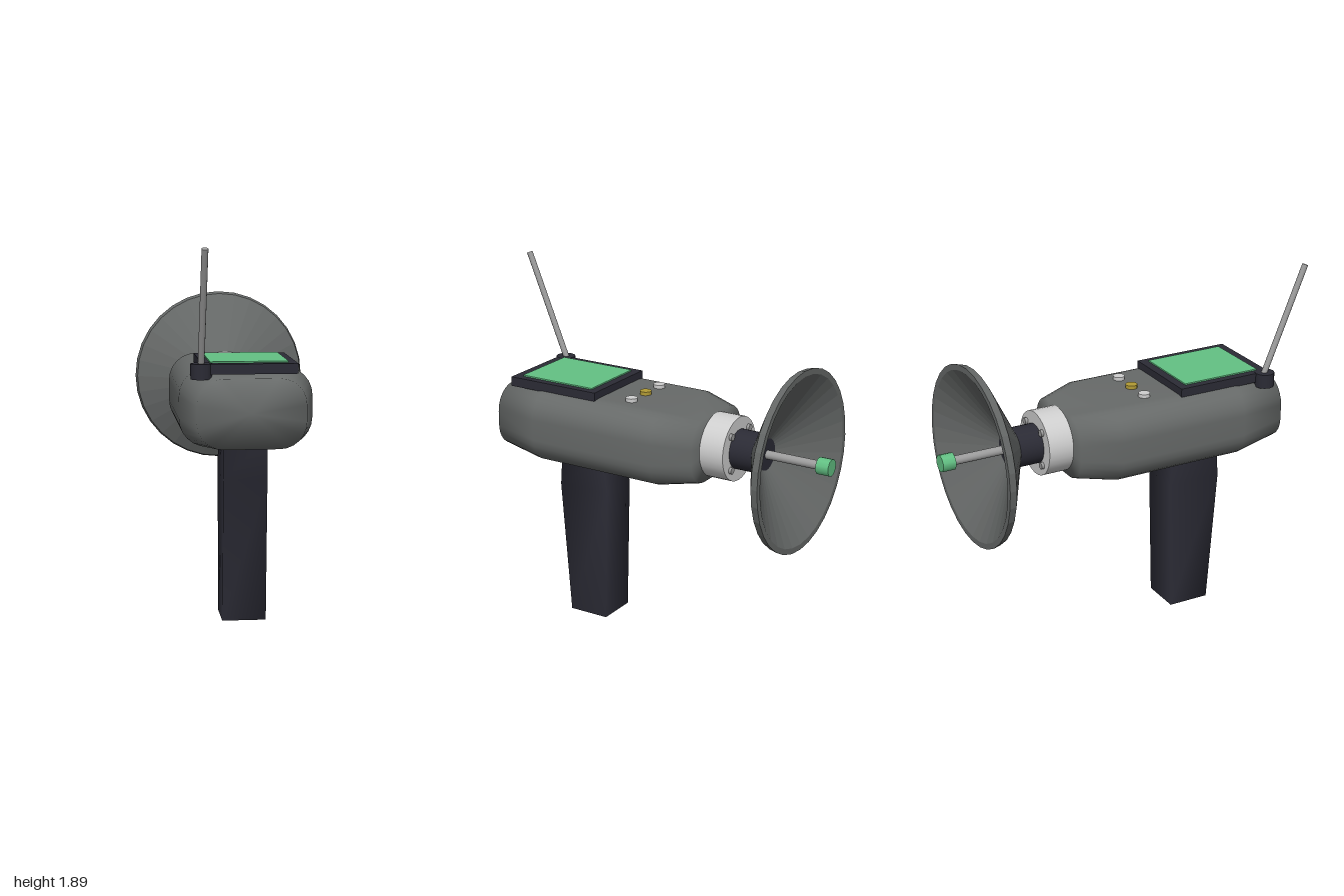
import * as THREE from 'three';
import { mergeVertices } from 'three/addons/utils/BufferGeometryUtils.js';

const material = (name, color, extra = {}) =>
  Object.assign(new THREE.MeshStandardMaterial({ color, ...extra }), { name });

// Smooth loft through rings of points, closed by a fan at each end
function loft(rings, smoothCaps) {
  const n = rings[0].length, pos = [];
  const tri = (...pts) => pts.forEach(p => pos.push(p.x, p.y, p.z));
  for (let i = 0; i < rings.length - 1; i++) {
    for (let j = 0; j < n; j++) {
      const k = (j + 1) % n;
      const a = rings[i][j], b = rings[i][k], c = rings[i + 1][k], d = rings[i + 1][j];
      tri(a, b, c);
      tri(a, c, d);
    }
  }
  const caps = [];
  const fan = (ring, flip) => {
    const mid = ring.reduce((s, p) => s.add(p), new THREE.Vector3()).divideScalar(n);
    ring.forEach((p, j) => {
      const q = ring[(j + 1) % n];
      caps.push(...(flip ? [mid, q, p] : [mid, p, q]));
    });
  };
  fan(rings[0], true);
  fan(rings[rings.length - 1], false);
  const build = list => {
    let g = new THREE.BufferGeometry();
    g.setAttribute('position', new THREE.Float32BufferAttribute(list, 3));
    g = mergeVertices(g, 1e-4);
    g.computeVertexNormals();
    return g;
  };
  const capPos = caps.flatMap(p => [p.x, p.y, p.z]);
  return smoothCaps ? [build(pos.concat(capPos))] : [build(pos), build(capPos)];
}

// Rounded rectangle ring across z, anticlockwise seen from +z
function bodyRing(z, w, y0, y1, r) {
  const pts = [], cy = (y0 + y1) / 2, h = (y1 - y0) / 2;
  [[1, 1], [-1, 1], [-1, -1], [1, -1]].forEach(([sx, sy], q) => {
    for (let i = 0; i <= 6; i++) {
      const a = (q + i / 6) * Math.PI / 2;
      pts.push(new THREE.Vector3(sx * (w - r) + r * Math.cos(a), cy + sy * (h - r) + r * Math.sin(a), z));
    }
  });
  return pts;
}

export function createModel() {
  const model = new THREE.Group();
  model.name = 'handheldScanner';
  const casing = material('casing grey', 0x676a69);
  const dishGrey = material('dish grey', 0x676a69, { flatShading: true, side: THREE.DoubleSide });
  const dark = material('dark plastic', 0x2b2b35);
  const white = material('pale grey', 0xcfcfcf);
  const metal = material('metal', 0x9c9c9c);
  const green = material('green', 0x63c184);
  const yellow = material('yellow', 0xb29b35);

  const add = (name, geometry, mat, x = 0, y = 0, z = 0) => {
    const mesh = new THREE.Mesh(geometry, mat);
    mesh.name = name;
    mesh.position.set(x, y, z);
    model.add(mesh);
    return mesh;
  };
  const AXIS = 1.095;
  // Cylinder running along z between two depths
  const rod = (name, r, z0, z1, mat, sides = 32, x = 0, y = AXIS) =>
    add(name, new THREE.CylinderGeometry(r, r, Math.abs(z1 - z0), sides).rotateX(Math.PI / 2),
      mat, x, y, (z0 + z1) / 2);

  // Body, tapered at both ends
  loft([
    bodyRing(-0.34, 0.25, 0.925, 1.265, 0.13),
    bodyRing(-0.14, 0.33, 0.9, 1.29, 0.14),
    bodyRing(0.58, 0.33, 0.9, 1.29, 0.14),
    bodyRing(0.85, 0.265, 0.925, 1.265, 0.13),
  ], true).forEach(g => add('body', g, casing));

  // Grip, listed as height, back z, front z
  const grip = [[0, 0.28, 0.505], [0.73, 0.263, 0.562], [0.93, 0.29, 0.548]].map(([y, b, f]) =>
    [[-0.11, f], [0.11, f], [0.11, b], [-0.11, b]].map(([x, z]) => new THREE.Vector3(x, y, z)));
  loft(grip, false).forEach((g, i) => add(i ? 'gripEnds' : 'grip', g, dark));

  // Screen and frame
  add('screenFrame', new THREE.BoxGeometry(0.46, 0.05, 0.53), dark, 0, 1.304, 0.52);
  add('screen', new THREE.BoxGeometry(0.38, 0.008, 0.436), green, 0, 1.332, 0.518);

  // Buttons
  [-0.135, 0, 0.135].forEach(x => add('button',
    new THREE.CylinderGeometry(0.031, 0.031, 0.03, 16), x ? white : yellow, x, 1.294, 0.088));

  // Antenna and its socket
  add('antennaSocket', new THREE.CylinderGeometry(0.052, 0.052, 0.075, 12), dark, -0.235, 1.293, 0.757);
  const from = new THREE.Vector3(-0.235, 1.31, 0.748), to = new THREE.Vector3(-0.235, 1.885, 0.985);
  const mid = from.clone().add(to).multiplyScalar(0.5);
  const antenna = add('antenna', new THREE.CylinderGeometry(0.016, 0.016, from.distanceTo(to), 12),
    metal, mid.x, mid.y, mid.z);
  antenna.quaternion.setFromUnitVectors(new THREE.Vector3(0, 1, 0), to.clone().sub(from).normalize());

  // Collar, bolts and neck behind the body
  rod('collar', 0.17, -0.33, -0.475, white);
  for (const x of [-0.09, 0.09]) for (const y of [-0.09, 0.09])
    rod('collarBolt', 0.018, -0.47, -0.49, metal, 10, x, AXIS + y);
  rod('neck', 0.104, -0.47, -0.605, dark);

  // Dish opening backwards, with a hollow inside and a rim
  const profile = [[0.1, 0.6], [0.465, 0.8], [0.475, 0.84], [0.445, 0.84], [0.08, 0.635]]
    .map(([r, d]) => new THREE.Vector2(r, d));
  add('dish', new THREE.LatheGeometry(profile, 32).rotateX(-Math.PI / 2), dishGrey, 0, AXIS, 0);
  rod('dishHub', 0.085, -0.6, -0.637, dark);

  // Feed rod with tip
  rod('feedRod', 0.023, -0.6, -0.94, metal, 16);
  rod('feedTip', 0.045, -0.93, -1, green, 10);

  return model;
}
